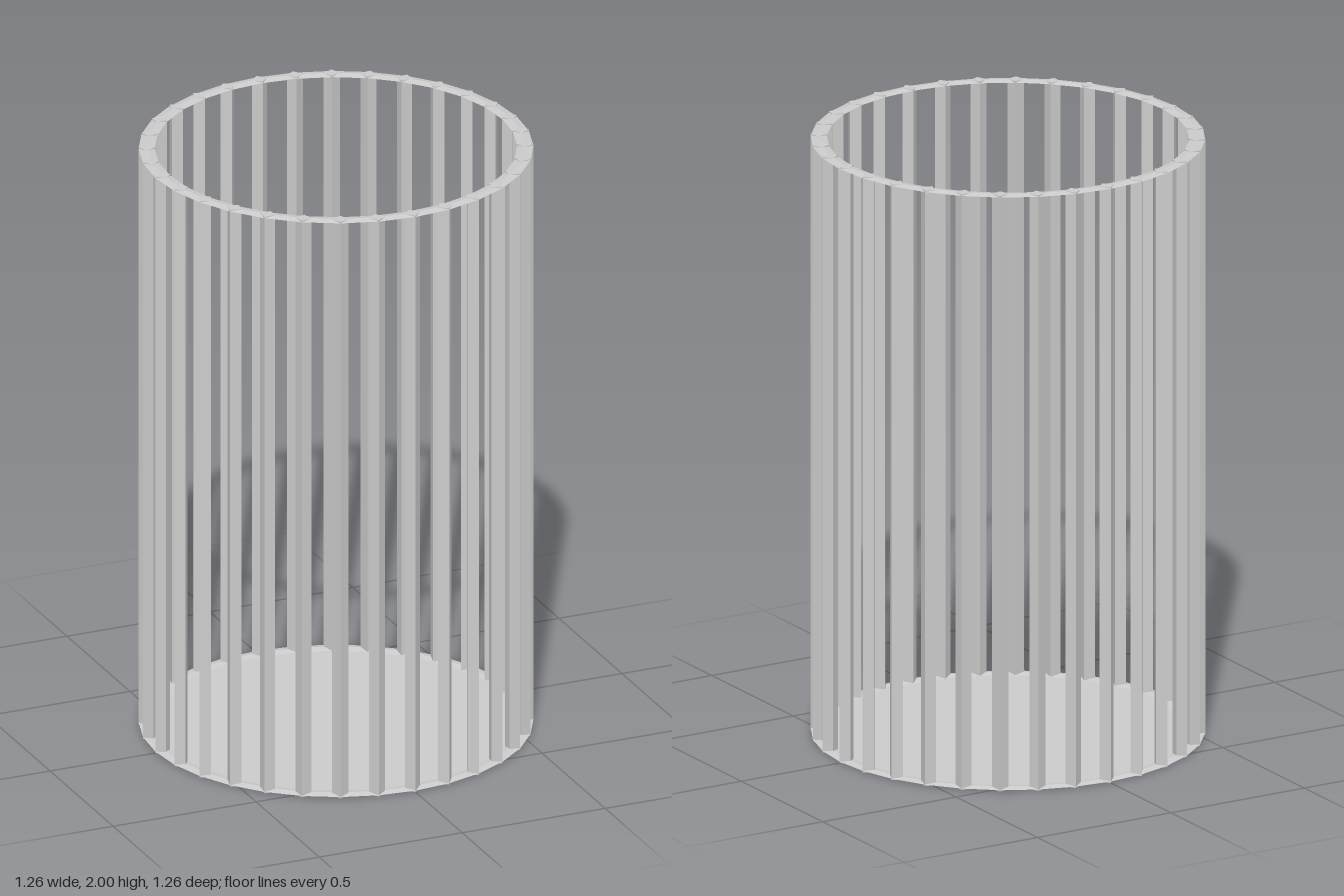
import * as THREE from 'three';

const BARS = 32;       // bars, and segments of each ring
const RADIUS = 0.606;  // centre line of the cage wall
const HALF = 0.026;    // half diagonal of a bar, half width of a ring
const HEIGHT = 2;
const RING_HALF = 0.005; // half thickness of a ring

export function createModel() {
  const group = new THREE.Group();
  const material = new THREE.MeshStandardMaterial({ color: 0xcccccc, flatShading: true });
  const thin = new THREE.MeshStandardMaterial({ color: 0xcccccc, flatShading: true, side: THREE.DoubleSide });

  const add = (name, geometry, mat = material) => {
    const mesh = new THREE.Mesh(geometry, mat);
    mesh.name = name;
    group.add(mesh);
    return mesh;
  };

  // Vertical bars: square rods with one corner pointing outwards
  const barGeometry = new THREE.CylinderGeometry(HALF, HALF, HEIGHT, 4);
  for (let i = 0; i < BARS; i++) {
    const a = (i / BARS) * Math.PI * 2;
    const bar = add('bar', barGeometry);
    bar.position.set(RADIUS * Math.sin(a), HEIGHT / 2, RADIUS * Math.cos(a));
    bar.rotation.y = a;
  }

  // Flattened rings with a diamond section, joining the bar ends
  const ringGeometry = new THREE.TorusGeometry(RADIUS, HALF, 4, BARS)
    .rotateX(-Math.PI / 2)
    .scale(1, RING_HALF / HALF, 1);
  add('topRing', ringGeometry).position.y = HEIGHT - RING_HALF;
  add('bottomRing', ringGeometry).position.y = RING_HALF;

  // Thin floor disc inside the bottom ring
  const floor = new THREE.CircleGeometry(RADIUS, BARS).rotateX(-Math.PI / 2);
  add('floor', floor, thin).position.y = RING_HALF;

  return group;
}
